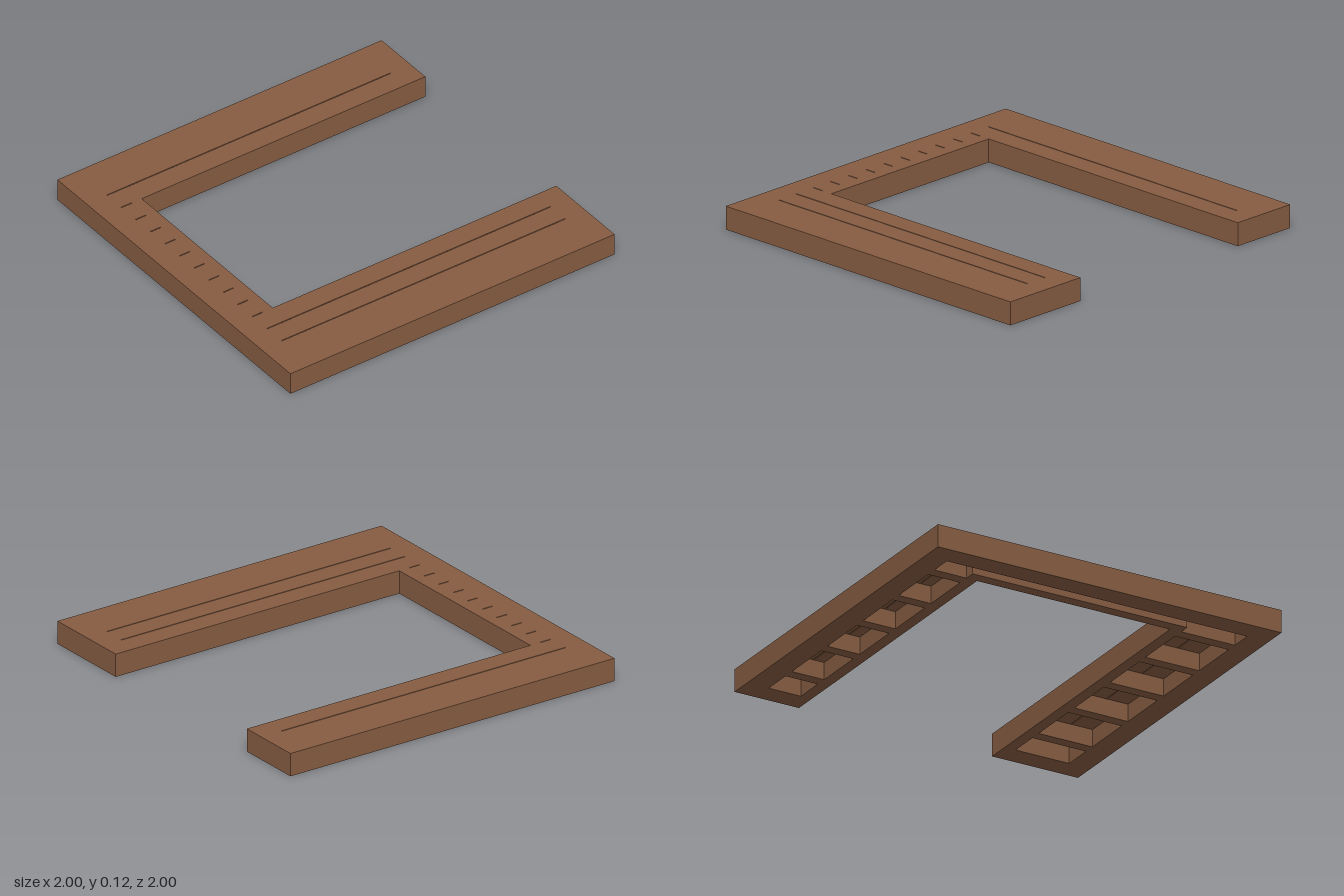
import * as THREE from 'three';

const HEIGHT = 0.125;
const DECK = 0.03; // thickness of the boards on top

// U outline in plan; the rails are set in by `outer` on the outside and `inner` on the inside
function uOutline(outer, inner) {
  const o = 1 - outer;
  return [
    [-o, o], [o, o], [o, -o], [0.5 + inner, -o], [0.5 + inner, 0.75 + inner],
    [-0.625 - inner, 0.75 + inner], [-0.625 - inner, -o], [-o, -o],
  ];
}

// plan z is stored as -y in the shape, so that the extrusion points up once laid flat
const toPoints = (list) => list.map(([x, z]) => new THREE.Vector2(x, -z));

function layFlat(name, shape, bottom, height, material) {
  const geometry = new THREE.ExtrudeGeometry(shape, { depth: height, bevelEnabled: false });
  geometry.rotateX(-Math.PI / 2);
  geometry.translate(0, bottom, 0);
  const mesh = new THREE.Mesh(geometry, material);
  mesh.name = name;
  return mesh;
}

export function createModel() {
  const model = new THREE.Group();
  model.name = 'uShapedDeck';
  const wood = new THREE.MeshStandardMaterial({ color: 0x865c42 });
  wood.name = 'brown wood';

  // Rim of rails, open in the middle
  const rim = new THREE.Shape(toPoints(uOutline(0, 0)));
  rim.holes.push(new THREE.Path(toPoints(uOutline(0.125, 0.0625))));
  model.add(layFlat('rimFrame', rim, 0, HEIGHT - DECK, wood));

  // Deck boards, parted by narrow slits
  const deck = new THREE.Shape(toPoints(uOutline(0, 0)));
  const slit = (x, z0, z1) => {
    const w = 0.0025;
    deck.holes.push(new THREE.Path(toPoints([[x - w, z1], [x + w, z1], [x + w, z0], [x - w, z0]])));
  };
  for (const x of [-0.75, 0.625, 0.75]) slit(x, -0.875, 0.875);
  for (let i = 0; i < 10; i++) slit(-0.625 + i * 0.125, 0.8125, 0.875);
  model.add(layFlat('deckBoards', deck, HEIGHT - DECK, DECK, wood));

  // Joists across both arms
  const joists = new THREE.Group();
  joists.name = 'joists';
  for (const [name, x0, x1] of [['rightArmJoist', -0.875, -0.6875], ['leftArmJoist', 0.5625, 0.875]]) {
    for (let i = 0; i < 5; i++) {
      const joist = new THREE.Mesh(new THREE.BoxGeometry(x1 - x0, HEIGHT - DECK, 0.0625), wood);
      joist.position.set((x0 + x1) / 2, (HEIGHT - DECK) / 2, -0.678 + i * 0.35);
      joist.name = name;
      joists.add(joist);
    }
  }
  model.add(joists);
  return model;
}
